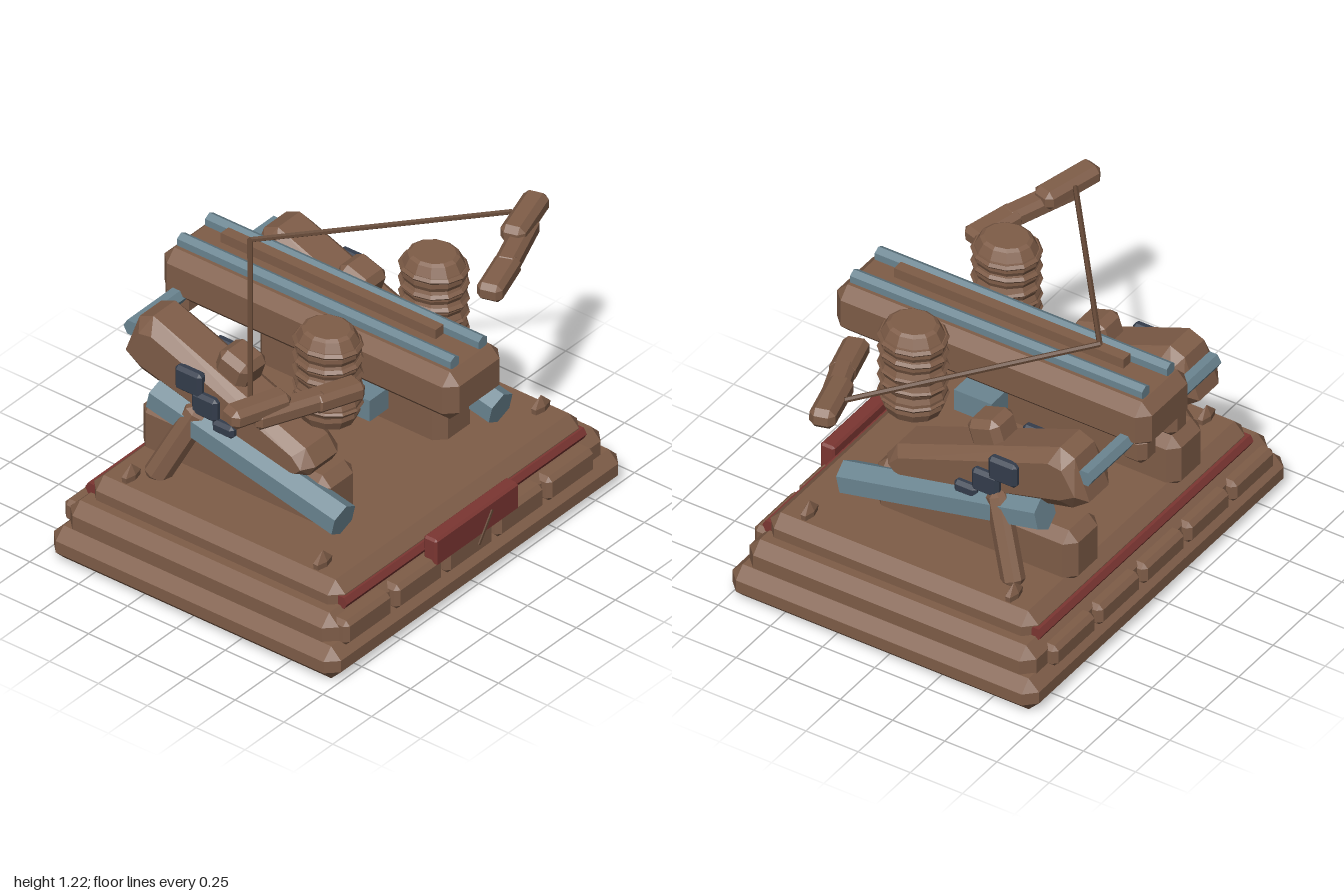
import * as THREE from 'three';
import { ConvexGeometry } from 'three/addons/geometries/ConvexGeometry.js';

const V = (x, y, z) => new THREE.Vector3(x, y, z);
const mat = (name, color) => {
  const m = new THREE.MeshStandardMaterial({ color, flatShading: true });
  m.name = name;
  return m;
};

export function createModel() {
  const wood = mat('brown wood', 0x7f5d48);
  const steel = mat('blue steel', 0x6b8591);
  const red = mat('dark red', 0x7c3632);
  const iron = mat('dark iron', 0x343d4c);
  const cord = mat('dark cord', 0x644836);
  const root = new THREE.Group();
  root.name = 'ballista';

  const add = (name, geo, m, x = 0, y = 0, z = 0, parent = root) => {
    const mesh = new THREE.Mesh(geo, m);
    mesh.name = name;
    mesh.position.set(x, y, z);
    parent.add(mesh);
    return mesh;
  };

  // Box with every edge and corner cut by c
  const cutBox = (w, h, d, c) => {
    const p = [];
    for (const a of [-1, 1]) for (const b of [-1, 1]) for (const e of [-1, 1]) {
      const x = a * w / 2, y = b * h / 2, z = e * d / 2;
      p.push(V(x, y - b * c, z - e * c), V(x - a * c, y, z - e * c), V(x - a * c, y - b * c, z));
    }
    return new ConvexGeometry(p);
  };

  // Cut box given by its limits
  const block = (name, m, x0, x1, y0, y1, z0, z1, c, parent) =>
    add(name, cutBox(x1 - x0, y1 - y0, z1 - z0, c), m, (x0 + x1) / 2, (y0 + y1) / 2, (z0 + z1) / 2, parent);

  // Straight prism between two points
  const rod = (name, m, a, b, r, sides, parent, r2 = r) => {
    const geo = new THREE.CylinderGeometry(r2, r, a.distanceTo(b), sides);
    const mesh = add(name, geo, m, 0, 0, 0, parent);
    mesh.position.copy(a).lerp(b, 0.5);
    mesh.quaternion.setFromUnitVectors(V(0, 1, 0), b.clone().sub(a).normalize());
    return mesh;
  };

  // Cut beam whose length runs from a to b
  const bar = (name, m, a, b, w, h, c, parent) => {
    const mesh = add(name, cutBox(w, h, a.distanceTo(b), c), m, 0, 0, 0, parent);
    mesh.position.copy(a).lerp(b, 0.5);
    mesh.lookAt(b);
    return mesh;
  };

  // Stepped base
  block('baseLower', wood, -0.94, 0.94, 0, 0.155, -0.715, 0.755, 0.05);
  block('baseMiddle', wood, -0.89, 0.89, 0.1, 0.27, -0.67, 0.705, 0.05);
  block('baseUpper', wood, -0.8, 0.8, 0.2, 0.365, -0.62, 0.665, 0.05);

  // Brick rows, rails and plaque
  for (let i = 0; i < 5; i++) {
    const x = -0.84 + i * 0.325;
    block('frontBrick', wood, x, x + 0.3, 0.135, 0.25, 0.65, 0.745, 0.02);
    block('backBrick', wood, x, x + 0.3, 0.135, 0.235, -0.71, -0.61, 0.02);
  }
  for (const z of [0.66, -0.62]) rod('baseRail', red, V(-0.77, 0.285, z), V(0.77, 0.285, z), 0.03, 6);
  block('plaque', red, -0.27, 0.265, 0.22, 0.35, 0.68, 0.748, 0.01);
  const scratch = add('plaqueScratch', new THREE.BoxGeometry(0.012, 0.15, 0.006), cord, 0.045, 0.25, 0.751);
  scratch.rotation.z = -0.6;

  // Corner studs
  for (const x of [-0.7, 0.7]) for (const z of [-0.47, 0.51]) {
    const stud = add('cornerStud', new THREE.LatheGeometry(
      [[0, -0.01], [0.05, -0.01], [0.055, 0.025], [0, 0.072]].map(p => new THREE.Vector2(...p)), 6), wood, x, 0.365, z);
    stud.scale.z = 0.42;
  }

  // Central stock with rails, groove bar and rear fittings
  block('stock', wood, -0.178, 0.178, 0.85, 1.078, -0.755, 0.755, 0.05);
  for (const s of [-1, 1]) {
    rod('stockRail', steel, V(s * 0.09, 1.1, -0.7), V(s * 0.09, 1.1, 0.7), 0.032, 6);
    block('rearLug', wood, Math.min(s * 0.05, s * 0.17), Math.max(s * 0.05, s * 0.17), 0.78, 0.92, -0.74, -0.62, 0.03);
  }
  add('grooveBar', new THREE.BoxGeometry(0.05, 0.045, 1.1), wood, 0, 1.137, 0);
  rod('rearCrossbar', steel, V(-0.47, 0.89, -0.655), V(0.47, 0.89, -0.655), 0.038, 6);
  add('counterweight', new THREE.BoxGeometry(0.12, 0.1, 0.18), steel, 0, 0.65, 0.15);

  // Side outline (z, y) of the sloping beam
  const outline = [[0.24, 0.69], [0.29, 0.62], [0.26, 0.57], [0.2, 0.54],
    [-0.6, 0.72], [-0.68, 0.78], [-0.61, 0.97], [-0.54, 1.0]];
  const beamPoints = [];
  for (const s of [-1, 1]) for (const [z, y] of outline) {
    beamPoints.push(V(s * 0.07, y, z));
    const cy = 0.63 - (z - 0.2) * 0.28;
    beamPoints.push(V(s * 0.12, cy + (y - cy) * 0.6, -0.19 + (z + 0.19) * 0.92));
  }
  const beamGeo = new ConvexGeometry(beamPoints);

  // Ribbed torsion drum profile
  const drumProfile = [[0, 0.79], [0.105, 0.79], [0.122, 0.83]];
  for (let i = 0; i < 5; i++) {
    const y = 0.85 + i * 0.063;
    drumProfile.push([0.119, y], [0.128, y + 0.02], [0.128, y + 0.04]);
  }
  drumProfile.push([0.12, 1.165], [0.1, 1.205], [0.085, 1.215], [0, 1.215]);
  const drumGeo = new THREE.LatheGeometry(drumProfile.map(p => new THREE.Vector2(...p)), 12);

  for (const s of [-1, 1]) {
    const side = new THREE.Group();
    side.name = s > 0 ? 'leftSide' : 'rightSide';
    root.add(side);
    const P = (x, y, z) => V(s * x, y, z);
    const sideBlock = (name, m, x, w, y0, y1, z0, z1, c) =>
      block(name, m, s * x - w / 2, s * x + w / 2, y0, y1, z0, z1, c, side);

    // Support and sloping beam
    sideBlock('pedestal', wood, 0.375, 0.23, 0.32, 0.575, -0.61, 0.35, 0.045);
    add('slopingBeam', beamGeo, wood, s * 0.4, 0, 0, side);
    bar('beamKnob', wood, P(0.385, 0.8, -0.19), P(0.385, 0.95, -0.14), 0.16, 0.16, 0.03, side);
    rod('strut', steel, P(0.505, 0.455, 0.46), P(0.505, 0.668, -0.49), 0.076, 6, side);
    bar('brace', wood, P(0.62, 0.34, -0.42), P(0.51, 0.7, -0.26), 0.09, 0.11, 0.03, side);

    // Iron bolts on both faces of the beam
    for (const x of [0.275, 0.525]) {
      sideBlock('upperBolt', iron, x, 0.05, 0.76, 0.875, -0.375, -0.24, 0.015);
      sideBlock('middleBolt', iron, x, 0.05, 0.675, 0.785, -0.29, -0.16, 0.015);
      sideBlock('lowerBolt', iron, x, 0.05, 0.63, 0.69, -0.185, -0.075, 0.015);
    }

    // Torsion drum with raised bands
    const drum = add('torsionDrum', drumGeo, wood, s * 0.34, 0, 0.25, side);
    drum.scale.z = 1.12;
    for (let i = 0; i < 5; i++) {
      const band = add('drumBand', new THREE.TorusGeometry(0.121, 0.014, 5, 12), wood,
        s * 0.34, 0.87 + i * 0.07, 0.25, side);
      band.rotation.set(Math.PI / 2, i % 2 ? 0.04 : -0.04, 0);
      band.scale.y = 1.12;
    }

    // Jointed bow arm and string
    bar('armInner', wood, P(0.41, 1.06, 0.47), P(0.64, 1.075, 0.4), 0.11, 0.085, 0.022, side);
    bar('armMiddle', wood, P(0.58, 1.075, 0.42), P(0.89, 1.085, 0.3), 0.1, 0.085, 0.022, side);
    bar('armTip', wood, P(0.72, 1.115, 0.34), P(1.0, 1.13, 0.26), 0.11, 0.09, 0.025, side);
    rod('bowString', cord, P(0.84, 1.14, 0.25), P(0, 1.168, -0.42), 0.012, 6, side);
  }
  return root;
}
